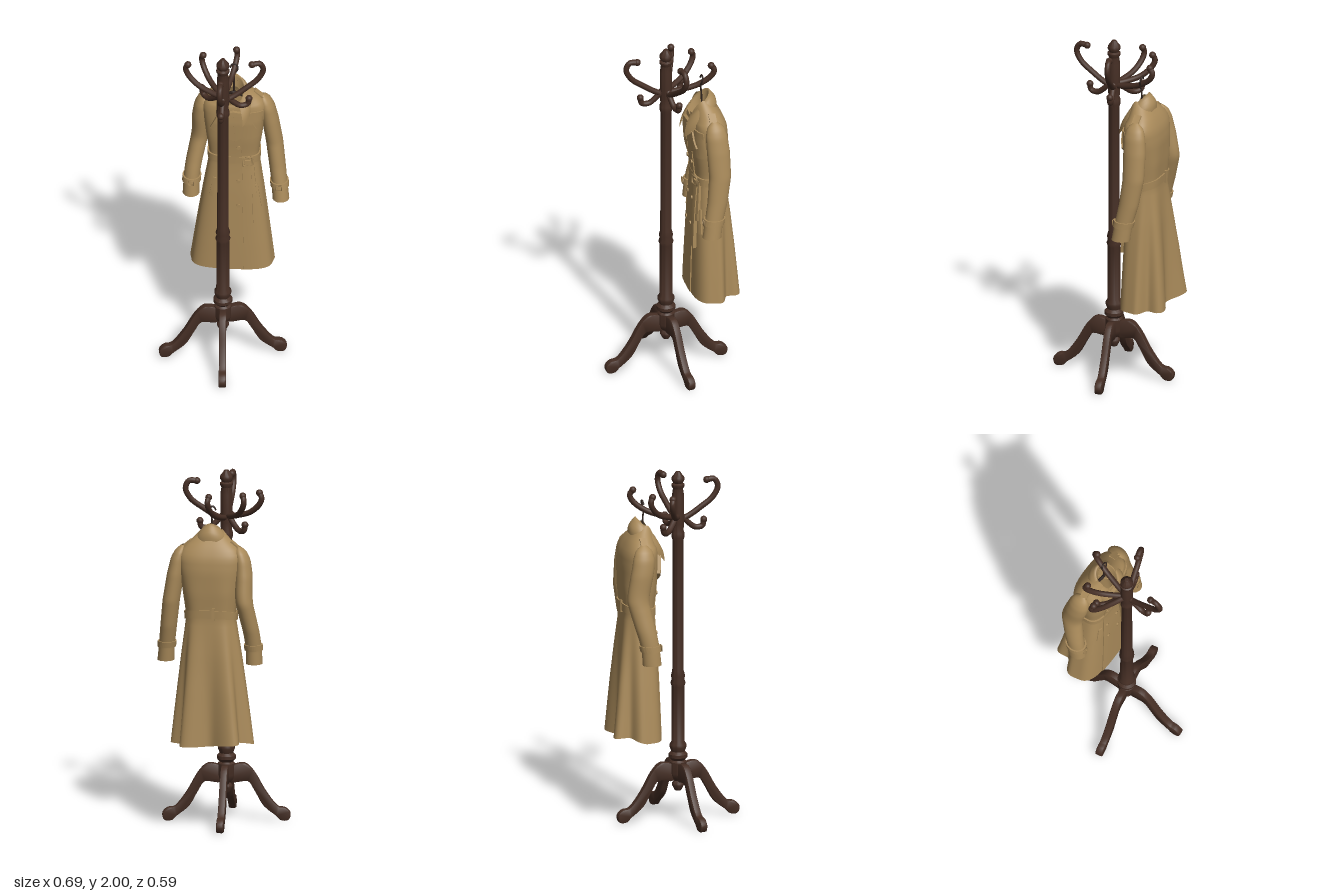
import * as THREE from 'three';
import { toCreasedNormals } from 'three/addons/utils/BufferGeometryUtils.js';

const V = (x, y, z) => new THREE.Vector3(x, y, z);

// Coat body sections, bottom to top: y, half width, front depth, back depth, fold strength, centre z
const BODY = [
  [0.49, 0.228, 0.116, 0.142, 0.24, 0], [0.65, 0.21, 0.112, 0.132, 0.2, 0], [0.80, 0.192, 0.107, 0.122, 0.16, 0],
  [1.00, 0.167, 0.1, 0.106, 0.09, 0], [1.12, 0.15, 0.092, 0.094, 0.05, 0], [1.20, 0.139, 0.087, 0.086, 0.02, 0],
  [1.25, 0.141, 0.089, 0.088, 0.02, 0], [1.35, 0.156, 0.1, 0.096, 0.02, 0], [1.48, 0.172, 0.106, 0.098, 0, 0],
  [1.55, 0.179, 0.1, 0.093, 0, 0.003], [1.59, 0.168, 0.09, 0.083, 0, 0.008], [1.625, 0.134, 0.074, 0.073, 0, 0.018],
  [1.66, 0.096, 0.06, 0.062, 0, 0.034], [1.70, 0.058, 0.048, 0.046, 0, 0.05],
];
// Sleeve sections: y, centre x, centre z, radius x, radius z
const SLEEVE = [
  [0.945, 0.262, 0.048, 0.047, 0.053], [1.03, 0.255, 0.036, 0.044, 0.051], [1.15, 0.24, 0.01, 0.046, 0.057],
  [1.30, 0.222, -0.01, 0.048, 0.062], [1.45, 0.198, -0.006, 0.048, 0.065], [1.54, 0.182, 0, 0.043, 0.061],
  [1.59, 0.168, 0.002, 0.032, 0.046], [1.615, 0.158, 0.005, 0.008, 0.015],
];

// Interpolated section of a table at height y
function sectionAt(table, y) {
  let i = 0;
  while (i < table.length - 2 && y > table[i + 1][0]) i++;
  const [p, q] = [table[i], table[i + 1]];
  const t = THREE.MathUtils.clamp((y - p[0]) / (q[0] - p[0]), 0, 1);
  return p.map((v, k) => v + (q[k] - v) * t);
}

// Surface from a grid of points f(i, j); the columns may wrap round
function gridGeometry(rows, cols, wrap, f) {
  const pos = [], idx = [], n = wrap ? cols : cols + 1;
  for (let i = 0; i <= rows; i++) for (let j = 0; j < n; j++) pos.push(...f(i, j).toArray());
  for (let i = 0; i < rows; i++) for (let j = 0; j < cols; j++) {
    const a = i * n + j, b = i * n + (j + 1) % n;
    idx.push(a, a + n, b, b, a + n, b + n);
  }
  const g = new THREE.BufferGeometry();
  g.setAttribute('position', new THREE.Float32BufferAttribute(pos, 3));
  g.setIndex(idx);
  g.computeVertexNormals();
  return g;
}

// Point of the coat body at height y and angle t, pushed out by off
function bodyPoint(y, t, off = 0) {
  const [, a, front, back, fold, cz] = sectionAt(BODY, y);
  const c = Math.cos(t), s = Math.sin(t), e = s > 0 ? 0.64 : 0.76 + 0.55 * fold;
  // two deep folds hang at the back, the right one a little deeper
  const k = 1 - fold * Math.max(0, 0.1 - s) * Math.cos(6 * (t + Math.PI / 2));
  const depth = s > 0 ? front : back * (1 - 0.5 * fold * c);
  const x = (a + off) * Math.sign(c) * Math.abs(c) ** e * k;
  const z = (depth + off) * Math.sign(s) * Math.abs(s) ** e * k;
  // the hem rises at the back right, the neckline drops at the front
  const lift = 0.05 * Math.max(0, -c) * Math.max(0, -s) * Math.max(0, 0.65 - y) / 0.16;
  const drop = 0.75 * Math.max(0, s) * Math.max(0, y - 1.58);
  return V(x - 0.05 * fold, y + lift - drop, z + cz);
}

function frontZ(x, y) {
  const [, a, front, , , cz] = sectionAt(BODY, y);
  return cz + front * Math.max(0, 1 - Math.min(1, Math.abs(x) / a) ** 3.125) ** 0.32;
}

// The right sleeve hangs closer in and bends further back
function sleevePoint(y, t, side, off = 0) {
  const [, cx, cz, rx, rz] = sectionAt(SLEEVE, y);
  const low = side < 0 ? Math.max(0, 1.25 - y) : 0;
  const bend = side < 0 ? Math.exp(-(((y - 1.3) / 0.14) ** 2)) : 0;
  const x = cx - 0.07 * low - 0.025 * bend, z = cz - 0.06 * low - 0.028 * bend;
  return V(side * (x + (rx + off) * Math.cos(t)), y, z + (rz + off) * Math.sin(t));
}

// Raised band round a body or sleeve
function bandGeometry(point, y0, y1, off) {
  const prof = [[y0, -0.004], [y0, off], [y1, off], [y1, -0.004]];
  return toCreasedNormals(gridGeometry(3, 64, true,
    (i, j) => point(prof[i][0], j / 64 * Math.PI * 2, prof[i][1])), 0.7);
}

// Padded cloth piece on the coat front; corners are [x, y] in order round the piece
function panelGeometry([p, q, r, s], off) {
  const n = 14;
  const at = (k) => THREE.MathUtils.clamp((k - 1) / (n - 2), 0, 1);
  return toCreasedNormals(gridGeometry(n, n, false, (i, j) => {
    const u = at(j), v = at(i);
    const [x, y] = [0, 1].map((k) => (p[k] * (1 - u) + q[k] * u) * (1 - v) + (s[k] * (1 - u) + r[k] * u) * v);
    const edge = i === 0 || j === 0 || i === n || j === n;
    return V(x, y, frontZ(x, y) + (edge ? -0.002 : off));
  }), 0.7);
}

export function createModel() {
  const model = new THREE.Group();
  const wood = new THREE.MeshStandardMaterial({ color: 0x452e24 });
  wood.name = 'dark wood';
  const cloth = new THREE.MeshStandardMaterial({ color: 0xa98a5a, side: THREE.DoubleSide });
  cloth.name = 'tan cloth';
  const metal = new THREE.MeshStandardMaterial({ color: 0x30241f });
  metal.name = 'dark metal';
  const add = (parent, name, geo, mat) => {
    const m = new THREE.Mesh(geo, mat);
    m.name = name;
    parent.add(m);
    return m;
  };

  // Stand: turned pole
  const stand = new THREE.Group();
  stand.name = 'stand';
  stand.position.set(-0.07, 0, 0.045);
  model.add(stand);
  const profile = [[0, 0.155], [0.018, 0.16], [0.034, 0.19], [0.034, 0.2], [0.022, 0.215], [0.042, 0.235],
    [0.048, 0.26], [0.048, 0.325], [0.038, 0.335], [0.053, 0.352], [0.053, 0.37], [0.038, 0.385], [0.047, 0.41],
    [0.047, 0.425], [0.037, 0.44], [0.036, 0.76], [0.042, 0.78], [0.035, 0.8], [0.04, 0.82], [0.032, 0.85],
    [0.03, 1.6], [0.036, 1.62], [0.036, 1.645], [0.031, 1.66], [0.034, 1.7], [0.034, 1.86], [0.028, 1.9],
    [0.037, 1.915], [0.037, 1.925], [0.026, 1.932], [0.036, 1.95], [0.035, 1.965], [0.02, 1.985], [0.012, 1.998], [0, 2]];
  add(stand, 'pole', toCreasedNormals(new THREE.LatheGeometry(
    profile.map(([r, y]) => new THREE.Vector2(r, y)), 32), 0.7), wood);

  // Four curved legs
  const outline = [[0.03, 0.31], [0.1, 0.322], [0.155, 0.27], [0.215, 0.165], [0.28, 0.08], [0.325, 0.068],
    [0.352, 0.04], [0.342, 0.006], [0.305, 0.006], [0.28, 0.03], [0.21, 0.088], [0.16, 0.175], [0.12, 0.228], [0.03, 0.225]];
  const legCurve = new THREE.SplineCurve([...outline, outline[0]].map(([x, y]) => new THREE.Vector2(x, y)));
  const legGeo = new THREE.ExtrudeGeometry(new THREE.Shape(legCurve.getPoints(56).slice(0, -1)),
    { depth: 0.022, bevelThickness: 0.009, bevelSize: 0.005, bevelSegments: 2 }).translate(0, 0, -0.011);
  const legSmooth = toCreasedNormals(legGeo, 0.7);
  for (const x of [1, -1]) for (const z of [1, -1]) {
    add(stand, 'leg', legSmooth, wood).rotation.y = Math.atan2(-z * 0.235, x * 0.26);
  }

  // Curled hooks: each is a bent rod with a ball on its tip
  const high = [[0.02, 1.72], [0.07, 1.745], [0.13, 1.785], [0.2, 1.84], [0.229, 1.9], [0.208, 1.942], [0.165, 1.94]];
  const upper = [[0.02, 1.74], [0.08, 1.75], [0.155, 1.775], [0.215, 1.825], [0.232, 1.865], [0.218, 1.893]];
  const long = [[0.02, 1.73], [0.09, 1.745], [0.18, 1.775], [0.25, 1.825], [0.27, 1.865], [0.252, 1.893]];
  const lower = [[0.02, 1.745], [0.06, 1.7], [0.1, 1.672], [0.14, 1.678], [0.148, 1.712]];
  const rear = [[0.02, 1.745], [0.07, 1.7], [0.12, 1.672], [0.162, 1.68], [0.172, 1.715]];
  const hooks = [[high, -0.16, 0.125], [high, 0.175, 0.13], [long, 0.245, -0.115], [upper, 0.07, -0.23],
    [upper, -0.065, -0.225], [lower, -0.16, 0.125], [lower, 0.175, 0.13], [rear, 0.015, -0.175]];
  for (const [path, dx, dz] of hooks) {
    const hook = new THREE.Group();
    hook.name = 'hook';
    hook.rotation.y = Math.atan2(-dz, dx);
    stand.add(hook);
    const curve = new THREE.CatmullRomCurve3(path.map(([r, y]) => V(r, y, 0)));
    add(hook, 'hookRod', new THREE.TubeGeometry(curve, 28, 0.016, 10), wood);
    add(hook, 'hookTip', new THREE.SphereGeometry(0.0195, 14, 10), wood).position.copy(curve.getPoint(1));
  }

  // Coat, turned to face the pole
  const coat = new THREE.Group();
  coat.name = 'coat';
  coat.position.set(0.14, 0, -0.06);
  coat.rotation.y = -0.9;
  model.add(coat);
  add(coat, 'coatBody', gridGeometry(48, 96, true,
    (i, j) => bodyPoint(0.49 + i / 48 * 1.21, j / 96 * Math.PI * 2)), cloth);
  // The belt rides up at the back
  const beltPoint = (y, t, off) => bodyPoint(y + 0.022 * Math.max(0, -Math.sin(t)), t, off);
  add(coat, 'belt', bandGeometry(beltPoint, 1.195, 1.24, 0.008), cloth);
  add(coat, 'backBeltLoop', new THREE.BoxGeometry(0.016, 0.07, 0.012), cloth).position.set(-0.03, 1.24, -0.094);

  // Folded collar, open at the front
  add(coat, 'collar', gridGeometry(10, 40, false, (i, j) => {
    const u = j / 20 - 1, w = Math.abs(u) ** 1.6, a = u * 2.62;
    const mix = (b, f) => b + (f - b) * w;
    const inner = [mix(0.046, 0.045), mix(1.66, 1.56)], top = [mix(0.056, 0.066), mix(1.742, 1.61)];
    const fall = [mix(0.098, 0.112), mix(1.652, 1.485)];
    const [p, q, t] = i < 4 ? [inner, top, i / 4] : [top, fall, (i - 4) / 6];
    const r = p[0] + (q[0] - p[0]) * t + (i > 4 ? 0.014 * Math.sin(t * Math.PI) : 0);
    return V(r * Math.sin(a), p[1] + (q[1] - p[1]) * t, 0.053 - r * Math.cos(a));
  }), cloth);

  // Pieces laid on the front
  const panels = {
    frontOverlap: [[[-0.12, 0.495], [0.06, 0.495], [0.045, 1.4], [-0.06, 1.4]], 0.006],
    rightLapel: [[[0.01, 1.36], [-0.13, 1.44], [-0.08, 1.55], [0, 1.56]], 0.02],
    leftLapel: [[[0.01, 1.36], [0.13, 1.44], [0.08, 1.55], [0, 1.56]], 0.018],
    stormFlap: [[[0.07, 1.37], [0.158, 1.38], [0.165, 1.55], [0.05, 1.55]], 0.008],
    longBeltEnd: [[[0.078, 0.81], [0.112, 0.8], [0.1, 1.22], [0.066, 1.22]], 0.018],
    shortBeltEnd: [[[0.1, 0.97], [0.13, 0.98], [0.11, 1.22], [0.08, 1.22]], 0.012],
    rightPocket: [[[-0.135, 0.97], [-0.115, 0.965], [-0.095, 1.09], [-0.115, 1.09]], 0.007],
    leftPocket: [[[0.135, 0.9], [0.155, 0.905], [0.135, 1.05], [0.115, 1.05]], 0.007],
  };
  for (const [name, [corners, off]] of Object.entries(panels)) add(coat, name, panelGeometry(corners, off), cloth);

  // Double row of buttons
  for (const y of [0.92, 1.08, 1.31]) for (const x of [-0.055, 0.03]) {
    const button = add(coat, 'button', new THREE.CylinderGeometry(0.011, 0.011, 0.008, 14), cloth);
    button.rotation.x = Math.PI / 2;
    button.position.set(x, y, frontZ(x, y) + 0.009);
  }
  // Square belt buckle
  const buckle = add(coat, 'buckle', new THREE.TorusGeometry(0.036, 0.005, 6, 4).rotateZ(Math.PI / 4), cloth);
  buckle.position.set(0.08, 1.217, frontZ(0.08, 1.217) + 0.018);
  buckle.rotation.y = 0.25;

  // Sleeves with cuff straps and shoulder tabs
  for (const side of [1, -1]) {
    const name = side > 0 ? 'left' : 'right';
    const point = (y, t, off) => sleevePoint(y, t, side, off);
    add(coat, name + 'Sleeve', gridGeometry(40, 32, true,
      (i, j) => point(0.945 + i / 40 * 0.67, j / 32 * Math.PI * 2)), cloth);
    add(coat, name + 'CuffStrap', bandGeometry(point, 1.025, 1.058, 0.008), cloth);
    const tab = add(coat, name + 'ShoulderTab', new THREE.BoxGeometry(0.09, 0.009, 0.04), cloth);
    tab.position.set(side * 0.148, 1.614, 0.01);
    tab.rotation.z = side * -0.7;
    const loop = add(coat, name + 'CuffBuckle', new THREE.TorusGeometry(0.02, 0.004, 6, 4).rotateZ(Math.PI / 4), cloth);
    loop.position.copy(point(1.04, Math.PI / 2, 0.011));
  }

  // Hanger: wire hook and hidden shoulder bar
  const wire = new THREE.CatmullRomCurve3([V(0, 1.64, 0.035), V(0, 1.74, 0.04), V(0.005, 1.775, 0.045),
    V(0.02, 1.8, 0.04), V(0.015, 1.825, 0.035), V(-0.01, 1.83, 0.035), V(-0.022, 1.81, 0.04)]);
  add(coat, 'hangerHook', new THREE.TubeGeometry(wire, 30, 0.005, 8), metal);
  const bar = new THREE.CatmullRomCurve3([V(-0.12, 1.57, 0.01), V(-0.05, 1.61, 0.02), V(0, 1.64, 0.035),
    V(0.05, 1.61, 0.02), V(0.12, 1.57, 0.01)]);
  add(coat, 'hangerBar', new THREE.TubeGeometry(bar, 20, 0.009, 8), metal);
  return model;
}
